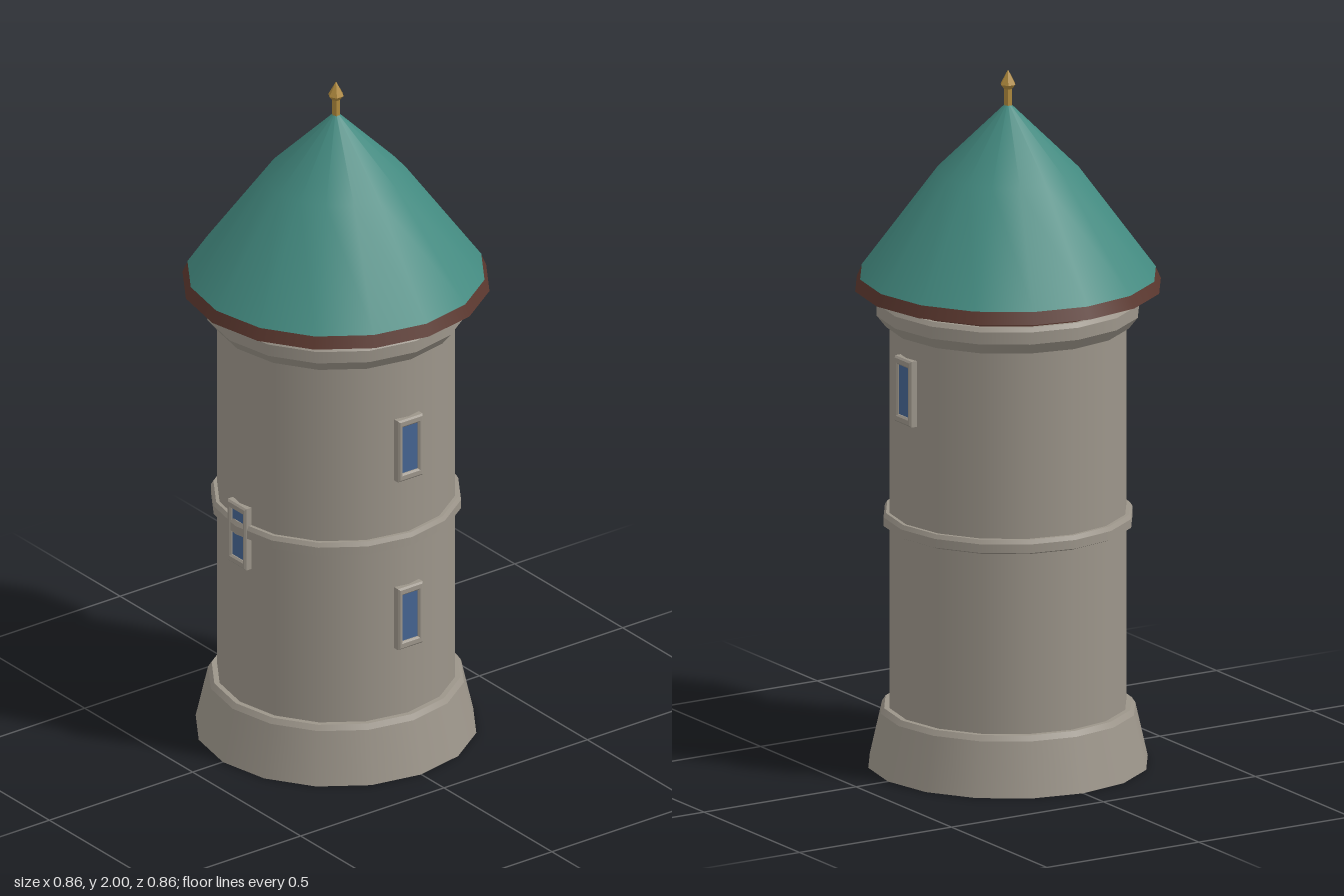
import * as THREE from 'three';
import { mergeGeometries } from 'three/addons/utils/BufferGeometryUtils.js';

const SIDES = 16;

function material(name, color, doubleSided = false) {
  const m = new THREE.MeshStandardMaterial({ color });
  m.name = name;
  if (doubleSided) m.side = THREE.DoubleSide;
  return m;
}

// Lathe that is smooth around the axis but creased at each profile point.
function creasedLathe(profile, sides = SIDES) {
  const bands = [];
  for (let i = 0; i < profile.length - 1; i++) {
    const pair = [profile[i], profile[i + 1]].map(([r, y]) => new THREE.Vector2(r, y));
    bands.push(new THREE.LatheGeometry(pair, sides));
  }
  return mergeGeometries(bands);
}

function rectangle(PathType, w, h) {
  const p = new PathType();
  p.moveTo(-w, -h);
  p.lineTo(w, -h);
  p.lineTo(w, h);
  p.lineTo(-w, h);
  p.closePath();
  return p;
}

export function createModel() {
  const stone = material('stone', 0x9c958a, true);
  const tile = material('green roof', 0x438a80, true);
  const wood = material('brown eave', 0x5a372e, true);
  const glass = material('blue glass', 0x456491);
  const brass = material('brass', 0xb08a3e);

  const model = new THREE.Group();
  model.name = 'roundTower';
  const add = (name, geometry, mat, parent = model) => {
    const mesh = new THREE.Mesh(geometry, mat);
    mesh.name = name;
    parent.add(mesh);
    return mesh;
  };

  // Stonework: flared open base, wall, belt course and cornice
  add('base', creasedLathe([[0.395, 0], [0.36, 0.155], [0.35, 0.17], [0.335, 0.17]]), stone);
  add('wall', creasedLathe([[0.335, 0.17], [0.335, 1.275]]), stone);
  add('belt', creasedLathe([[0.335, 0.69], [0.352, 0.697], [0.352, 0.722], [0.345, 0.734], [0.335, 0.734]]), stone);
  add('cornice', creasedLathe([[0.335, 1.27], [0.345, 1.272], [0.371, 1.305], [0.371, 1.34], [0.362, 1.352], [0.335, 1.352]]), stone);

  // Roof: brown collar and eave board below a bent cone
  add('collar', creasedLathe([[0.352, 1.35], [0.352, 1.38]]), wood);
  add('eave', creasedLathe([[0, 1.378], [0.432, 1.378], [0.417, 1.412]]), wood);
  const roofProfile = [[0.418, 1.412], [0.2, 1.71], [0.004, 1.905]].map(([r, y]) => new THREE.Vector2(r, y));
  add('roof', new THREE.LatheGeometry(roofProfile, SIDES), tile);

  // Six-sided finial
  const finial = creasedLathe([[0.012, 1.89], [0.012, 1.945], [0.023, 1.958], [0, 2]], 6).toNonIndexed();
  finial.computeVertexNormals();
  add('finial', finial, brass).rotation.y = Math.PI / 2;

  // Windows: bevelled frame around a thin pane
  const bevel = 0.005;
  const frameShape = rectangle(THREE.Shape, 0.043 - bevel, 0.095 - bevel);
  frameShape.holes.push(rectangle(THREE.Path, 0.027 + bevel, 0.072 + bevel));
  const frame = new THREE.ExtrudeGeometry(frameShape, {
    depth: 0.02, bevelEnabled: true, bevelSize: bevel, bevelThickness: bevel, bevelSegments: 1,
  });
  const pane = new THREE.BoxGeometry(0.058, 0.148, 0.008);
  const windows = [
    ['lowerFrontWindow', 0, 0.474],
    ['upperFrontWindow', 0, 0.996],
    ['leftWindow', Math.PI / 2, 1.12],
    ['rightWindow', -Math.PI / 2, 0.693],
  ];
  for (const [name, angle, y] of windows) {
    const group = new THREE.Group();
    group.name = name;
    group.position.y = y;
    group.rotation.y = angle;
    add('frame', frame, stone, group).position.z = 0.324;
    add('pane', pane, glass, group).position.z = 0.337;
    model.add(group);
  }
  return model;
}
